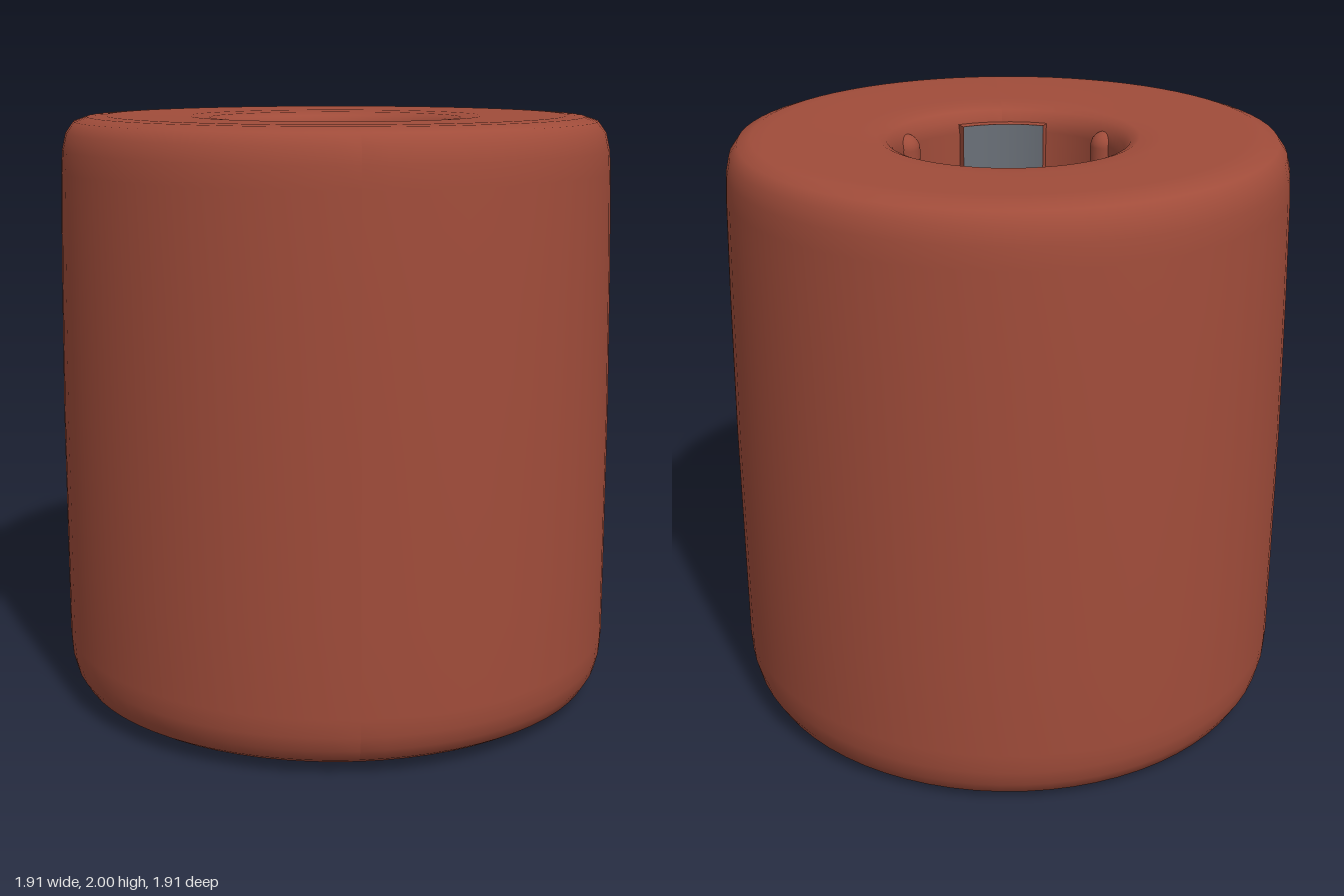
import * as THREE from 'three';

const BORE_Z = -0.03; // the bore sits slightly behind the centre

export function createModel() {
  const group = new THREE.Group();
  const clay = new THREE.MeshStandardMaterial({ color: 0xa04c3a, side: THREE.DoubleSide });
  clay.name = 'clayRed';
  const steel = new THREE.MeshStandardMaterial({ color: 0x6a7078, side: THREE.DoubleSide });
  steel.name = 'steelGrey';

  function add(name, geometry, material, x = 0, y = 0, z = 0) {
    const mesh = new THREE.Mesh(geometry, material);
    mesh.name = name;
    mesh.position.set(x, y, z);
    group.add(mesh);
    return mesh;
  }

  // Tapered roller with rounded rims, hollow underside and through bore
  const profile = [
    [0.37, 0.12], [0.39, 0.085], [0.43, 0.07], [0.6, 0.05], [0.78, 0.015], [0.84, 0.0], [0.88, 0.006],
    [0.915, 0.03], [0.94, 0.075], [0.953, 0.13], [0.957, 0.2], [0.955, 0.5], [0.951, 1.0],
    [0.94, 1.5], [0.93, 1.82], [0.925, 1.89], [0.912, 1.945], [0.885, 1.982], [0.84, 1.997],
    [0.78, 2.0], [0.5, 1.995], [0.43, 1.99], [0.4, 1.978], [0.38, 1.95], [0.37, 1.91],
    [0.37, 1.0], [0.37, 0.12],
  ].map(([r, y]) => new THREE.Vector2(r, y));
  const body = new THREE.LatheGeometry(profile, 72);
  const p = body.attributes.position;
  for (let i = 0; i < p.count; i++) {
    const x = p.getX(i), y = p.getY(i), z = p.getZ(i);
    const r = Math.hypot(x, z);
    // slope the base up toward the front
    if (y < 0.3) p.setY(i, y + 0.017 * (z + 0.84) * (1 - y / 0.3));
    // shift the bore backward
    if (r < 0.55) p.setZ(i, z + BORE_Z);
  }
  body.computeVertexNormals();
  add('rollerBody', body, clay);

  // Curved liner: a block on the bore wall with a grey inner face
  function liner(name, centre, half, radius, bottom, top) {
    const height = top - bottom;
    const shape = new THREE.Shape();
    shape.absarc(0, 0, 0.39, -half, half, false);
    shape.absarc(0, 0, radius, half, -half, true);
    const block = new THREE.ExtrudeGeometry(shape, { depth: height, bevelEnabled: false, curveSegments: 24 });
    block.rotateX(-Math.PI / 2);
    block.rotateY(centre - Math.PI / 2);
    add(name + 'Block', block, clay, 0, bottom, BORE_Z);
    const face = new THREE.CylinderGeometry(radius - 0.003, radius - 0.003, height, 32, 1, true, centre - half, 2 * half);
    add(name + 'Face', face, steel, 0, bottom + height / 2, BORE_Z);
  }
  liner('backLiner', Math.PI, 1.17, 0.364, 0.14, 1.91);
  liner('frontLiner', 0, 0.42, 0.34, 0.14, 1.94);

  // Round guide ribs along both sides of the bore
  for (const side of [-1, 1]) {
    const name = side > 0 ? 'leftRib' : 'rightRib';
    add(name, new THREE.CapsuleGeometry(0.05, 1.74, 6, 20), clay, side * 0.34, 1.03, 0.15);
  }
  return group;
}
